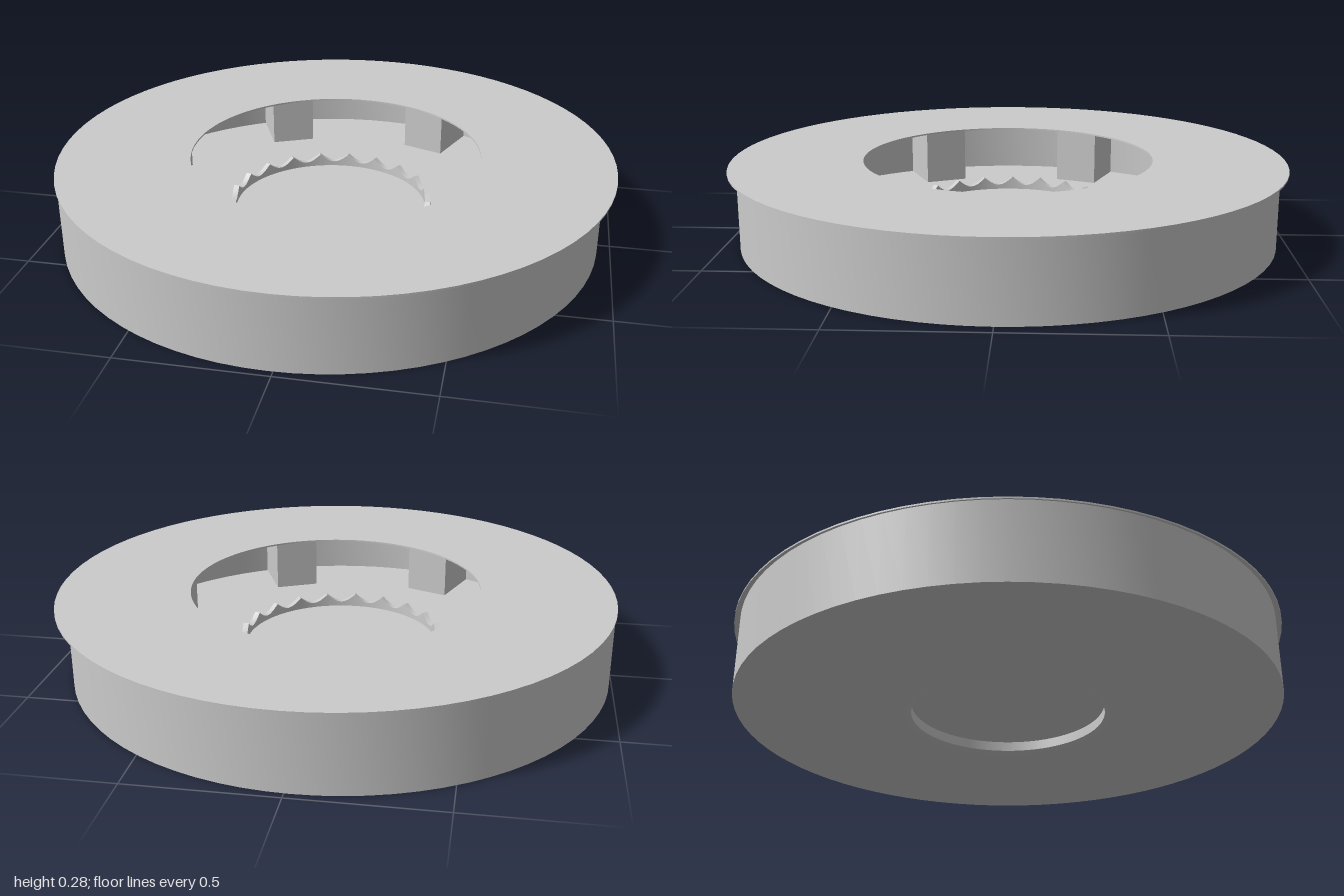
import * as THREE from 'three';
import { toCreasedNormals } from 'three/addons/utils/BufferGeometryUtils.js';

const material = new THREE.MeshStandardMaterial({ color: 0xcccccc });
const HEIGHT = 0.285, PLATE = 0.006, FLOOR = 0.02;

function addMesh(parent, name, geometry) {
  const mesh = new THREE.Mesh(toCreasedNormals(geometry, 0.6), material);
  mesh.name = name;
  parent.add(mesh);
  return mesh;
}

// Revolves a closed profile of [radius, y] pairs, listed counterclockwise
function revolve(profile, segments = 80) {
  return new THREE.LatheGeometry([...profile, profile[0]].map(([r, y]) => new THREE.Vector2(r, y)), segments);
}

export function createModel() {
  const model = new THREE.Group();
  model.name = 'roundHousing';

  // Thin cover plate with a wide central opening
  addMesh(model, 'topPlate', revolve([
    [0.525, HEIGHT - PLATE], [1, HEIGHT - PLATE], [1, HEIGHT], [0.525, HEIGHT],
  ]));

  // The body sits slightly off the centre of the plate
  const body = new THREE.Group();
  body.name = 'body';
  body.position.x = -0.02;
  model.add(body);

  // Hollow tray: outer wall, floor and chamfered hub hole
  addMesh(body, 'tray', revolve([
    [0.375, 0], [0.975, 0], [0.975, HEIGHT - PLATE], [0.95, HEIGHT - PLATE],
    [0.95, FLOOR], [0.35, FLOOR], [0.35, 0.012],
  ]));

  // Hub collar whose top edge dips between twenty points
  const collar = revolve([[0.35, FLOOR], [0.37, FLOOR], [0.37, 0.115], [0.35, 0.115]], 160);
  const p = collar.attributes.position;
  for (let i = 0; i < p.count; i++) {
    if (p.getY(i) < 0.1) continue;
    const angle = Math.atan2(p.getX(i), p.getZ(i));
    p.setY(i, 0.115 - 0.03 * Math.abs(Math.sin(10 * angle)));
  }
  addMesh(body, 'scallopedCollar', collar);

  // Disc closing the hub
  const disc = addMesh(body, 'hubDisc', new THREE.CylinderGeometry(0.352, 0.352, 0.02, 80));
  disc.position.y = 0.058;

  // Support blocks between the floor and the plate
  const blockHeight = HEIGHT - PLATE - FLOOR;
  for (let i = 0; i < 8; i++) {
    const angle = THREE.MathUtils.degToRad(21 + 45 * i);
    const block = addMesh(body, 'supportBlock', new THREE.BoxGeometry(0.17, blockHeight, 0.23));
    block.position.set(0.84 * Math.sin(angle), FLOOR + blockHeight / 2, -0.84 * Math.cos(angle));
    block.rotation.y = -angle;
  }
  return model;
}
